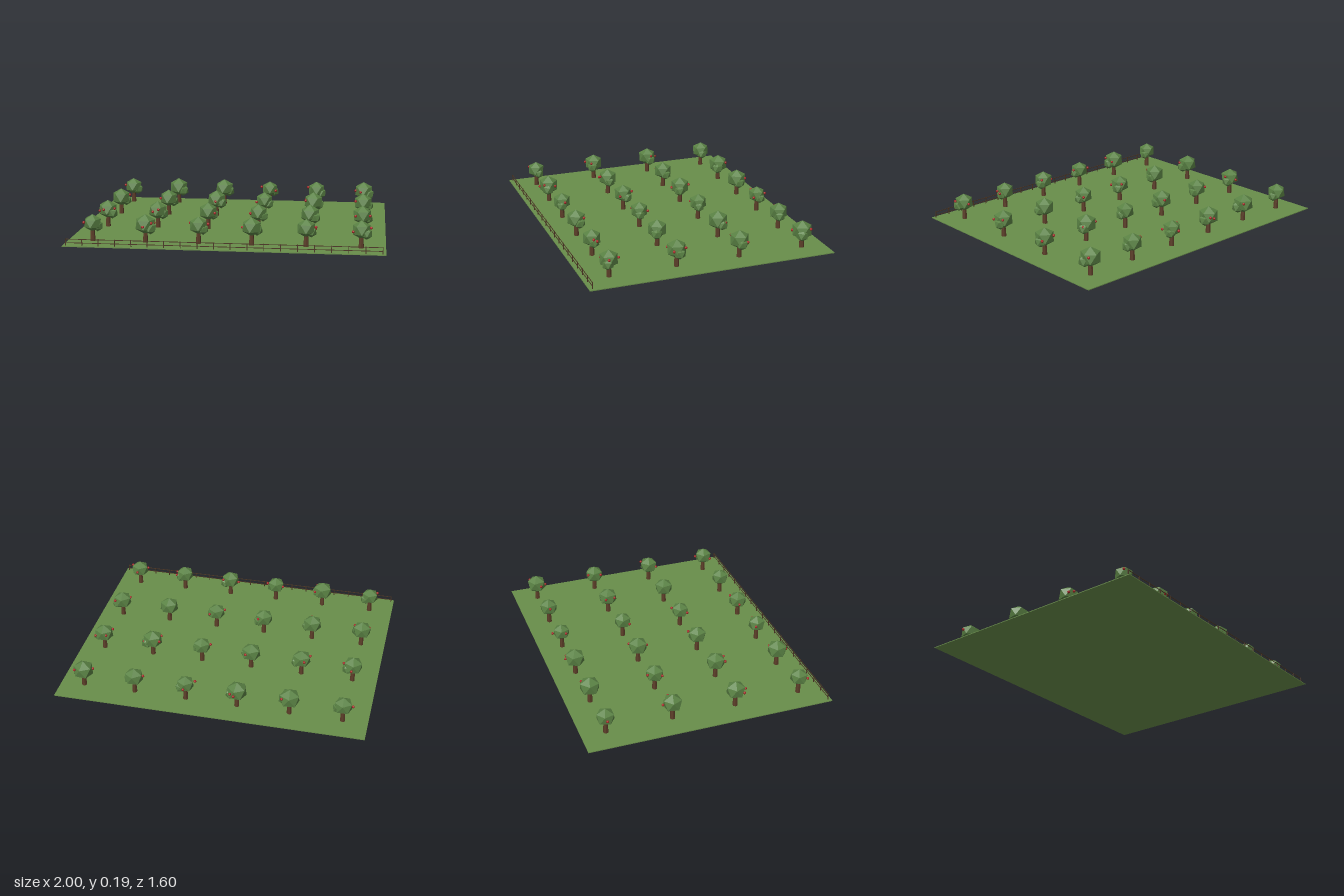
import * as THREE from 'three';

const mat = (name, color, flat = true) => {
  const m = new THREE.MeshStandardMaterial({ color, flatShading: flat });
  m.name = name;
  return m;
};

// Planting grid, back row first
const COLUMNS = [-0.841, -0.503, -0.166, 0.168, 0.507, 0.847];
const ROWS = [-0.644, -0.214, 0.203, 0.635];
const CROWN_RADII = [
  [0.063, 0.07, 0.069, 0.059, 0.064, 0.069],
  [0.066, 0.064, 0.067, 0.061, 0.068, 0.066],
  [0.066, 0.066, 0.064, 0.061, 0.066, 0.066],
  [0.06, 0.069, 0.061, 0.065, 0.062, 0.063],
];
// Bearings of the apples on each tree, in degrees from +x towards +z
const APPLES = [
  [[184], [-43], [-80, -55], [-90, 164, 42], [183], [162, 111, -39]],
  [[-86, -10], [-114, 145], [-63, 90], [146], [-151, 147, -31], [-120, -37, 145]],
  [[138, 105, 31], [113, 76], [-59, 36], [-49, 145], [], [-49, 34, 135]],
  [[141], [95, 42, -34], [-153, -6], [-41, 191], [-18, 5], [-85, 15, 145]],
];

export function createModel() {
  const model = new THREE.Group();
  model.name = 'orchard';
  const grass = mat('grass green', 0x688d4a);
  const leaf = mat('leaf green', 0x5a8244);
  const bark = mat('bark brown', 0x5c3d28);
  const wood = mat('fence wood', 0x4a3422);
  const red = mat('apple red', 0xa82424, false);

  const add = (parent, name, geo, material, x, y, z) => {
    const m = new THREE.Mesh(geo, material);
    m.name = name;
    m.position.set(x, y, z);
    parent.add(m);
    return m;
  };

  // Field
  add(model, 'field', new THREE.BoxGeometry(2, 0.005, 1.6), grass, 0, 0.0025, 0);

  // Shared tree parts; the icosahedron is tipped so one corner points up
  const foliage = new THREE.IcosahedronGeometry(1, 0);
  foliage.rotateZ(-Math.atan(2 / (1 + Math.sqrt(5))));
  const trunkGeo = new THREE.CylinderGeometry(0.013, 0.017, 0.08, 7);
  const appleGeo = new THREE.SphereGeometry(0.009, 8, 6);

  ROWS.forEach((z, row) => COLUMNS.forEach((x, col) => {
    const i = row * COLUMNS.length + col;
    const r = CROWN_RADII[row][col];
    const tree = new THREE.Group();
    tree.name = 'tree';
    tree.position.set(x, 0, z);
    add(tree, 'trunk', trunkGeo, bark, 0, 0.041, 0);

    const crown = add(tree, 'crown', foliage, leaf, 0, 0.121, 0);
    crown.scale.set(r, r * 0.93, r);
    crown.rotation.y = Math.PI / 10 + 0.12 * Math.sin(i * 2.3);

    // Smaller low clump on one side
    const clump = add(tree, 'sideClump', foliage, leaf, r * 0.5, 0.1, r * 0.25 * Math.sin(i * 1.7));
    clump.scale.setScalar(r * 0.6);
    clump.rotation.y = i;

    // Apples around the rim of the crown
    APPLES[row][col].forEach((bearing, k) => {
      const a = THREE.MathUtils.degToRad(bearing);
      const y = 0.126 + 0.012 * Math.sin(i * 1.9 + k * 2.5);
      add(tree, 'apple', appleGeo, red, 0.061 * Math.cos(a), y, 0.061 * Math.sin(a));
    });
    model.add(tree);
  }));

  // Fence along the front edge
  const fence = new THREE.Group();
  fence.name = 'fence';
  fence.position.z = 0.778;
  const postGeo = new THREE.BoxGeometry(0.005, 0.045, 0.005);
  for (let i = 0; i < 20; i++) add(fence, 'post', postGeo, wood, -0.98 + (i * 1.96) / 19, 0.0265, 0);
  const railGeo = new THREE.BoxGeometry(1.965, 0.004, 0.003);
  for (const y of [0.022, 0.045]) add(fence, 'rail', railGeo, wood, 0, y, 0);
  model.add(fence);

  return model;
}
